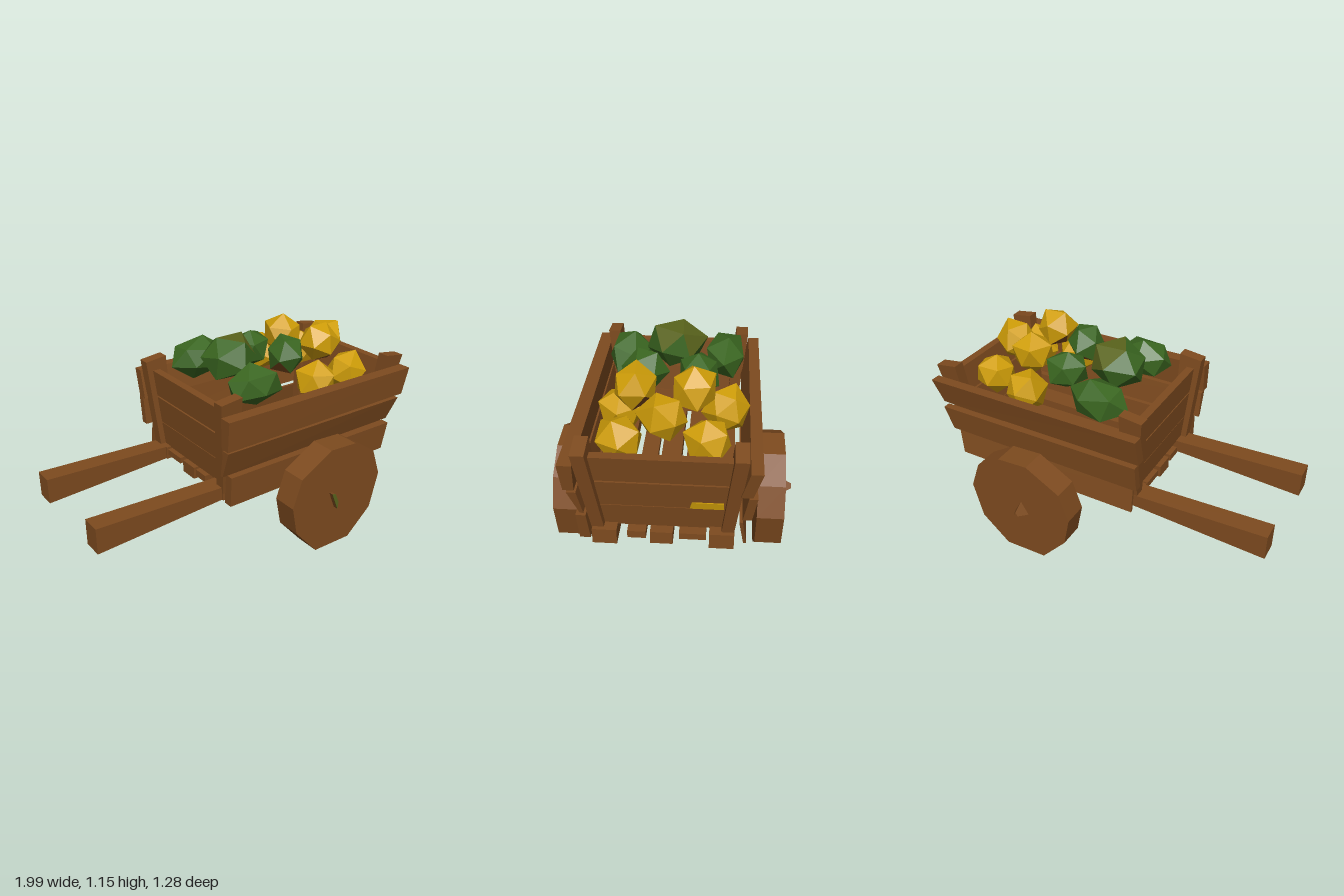
import * as THREE from 'three';

export function createModel() {
  const cart = new THREE.Group();
  cart.name = 'produceCart';
  const paint = (name, color) => {
    const m = new THREE.MeshStandardMaterial({ color });
    m.name = name;
    return m;
  };
  const wood = paint('wood', 0x7e4b1f);
  const green = paint('greenProduce', 0x3a6620);
  const yellow = paint('yellowProduce', 0xd09e08);
  const olive = paint('olive', 0x5a641c);

  const add = (name, geometry, material) => {
    const flat = geometry.index ? geometry.toNonIndexed() : geometry;
    flat.computeVertexNormals();
    const mesh = new THREE.Mesh(flat, material);
    mesh.name = name;
    cart.add(mesh);
    return mesh;
  };

  // Skewed board: lo and hi are [x0, x1, z0, z1] outlines, each y is a
  // number or [y at x0, y at x1]
  const board = (name, yLo, lo, yHi, hi, material = wood) => {
    const g = new THREE.BoxGeometry(1, 1, 1);
    const p = g.attributes.position;
    for (let i = 0; i < p.count; i++) {
      const r = p.getY(i) > 0 ? hi : lo;
      const y = [p.getY(i) > 0 ? yHi : yLo].flat();
      const atX = p.getX(i) > 0 ? 1 : 0;
      p.setXYZ(i, r[atX], y[atX] ?? y[0], r[p.getZ(i) > 0 ? 3 : 2]);
    }
    return add(name, g, material);
  };

  // Shafts: flared handles, then straight bearers under the bed
  for (const [z0, z1] of [[-0.325, -0.215], [0.24, 0.35]]) {
    const r = [-1, -0.26, z0, z1];
    board('handle', [0.34, 0.38], r, [0.485, 0.455], r);
    const b = [-0.26, 0.91, z0, z1 + 0.01];
    board('shaft', [0.38, 0.375], b, [0.455, 0.46], b);
  }

  // Floor slats running lengthwise
  for (const [z0, z1, y0] of [[-0.19, -0.06, 0.415], [-0.03, 0.08, 0.38], [0.1, 0.19, 0.41]]) {
    const r = [-0.26, 0.9, z0, z1];
    board('floorSlat', y0, r, 0.45, r);
  }

  // Overlapping side planks, each a bit crooked:
  // yLo, yHi, x ends, z span at the bottom, z span at the top
  const planks = [
    [0.375, 0.55, -0.26, 0.905, [0.375, 0.428], [0.385, 0.434]],
    [0.56, 0.715, -0.3, 0.94, [0.393, 0.41], [0.414, 0.459]],
    [0.73, 0.9, -0.31, 0.985, [0.417, 0.469], [0.41, 0.48]],
    [0.385, 0.55, -0.26, 0.905, [-0.385, -0.37], [-0.362, -0.345]],
    [0.56, 0.72, -0.3, 0.94, [-0.403, -0.36], [-0.424, -0.383]],
    [0.73, 0.895, -0.31, 0.985, [-0.4, -0.345], [-0.44, -0.383]],
  ];
  for (const [y0, y1, xa, xb, zLo, zHi] of planks) {
    board('sidePlank', y0, [xa, xb - 0.03, ...zLo], [y1, y1 - 0.01], [xa, xb, ...zHi]);
  }

  // Corner posts leaning outward
  for (const side of [1, -1]) {
    const post = (y1, xLo, xHi) => {
      const zs = (i, o) => [0.02 + side * i, 0.02 + side * o].sort((a, b) => a - b);
      board('cornerPost', 0.42, [...xLo, ...zs(0.28, 0.34)], y1, [...xHi, ...zs(0.33, 0.395)]);
    };
    post([0.97, 0.95], [0.81, 0.88], [0.86, 0.99]);
    post([0.965, 0.98], [-0.26, -0.17], [-0.31, -0.18]);
  }

  // End boards between the posts
  for (const [y0, y1] of [[0.45, 0.59], [0.594, 0.75], [0.76, 0.91]]) {
    const rect = (y, front) => {
      const d = y - 0.45, z = 0.285 + d * 0.1;
      const x = front ? 0.805 + d * 0.2 : -0.23 - d * 0.09;
      return [x, x + 0.045, 0.02 - z, 0.02 + z];
    };
    for (const front of [true, false]) board('endBoard', y0, rect(y0, front), y1, rect(y1, front));
  }
  // Yellow patch on the end board
  board('yellowPatch', 0.594, [0.876, 0.884, -0.27, -0.11], 0.636, [0.885, 0.893, -0.27, -0.12], yellow);

  // Axle
  const axle = add('axle', new THREE.CylinderGeometry(0.06, 0.06, 0.95, 8).rotateX(Math.PI / 2).rotateZ(Math.PI / 8), wood);
  axle.position.set(0.325, 0.308, 0.02);

  // Extruded outline in the xy plane
  const slab = (name, points, z, depth, material) => {
    const shape = new THREE.Shape(points.map(([x, y]) => new THREE.Vector2(x, y)));
    const g = new THREE.ExtrudeGeometry(shape, { depth, bevelEnabled: false });
    add(name, g, material).position.z = z;
  };

  // Axle ends: a chipped wedge at the front, a blunt spike at the back
  slab('axleWedge', [[0.275, 0.363], [0.3, 0.355], [0.375, 0.28], [0.37, 0.255], [0.32, 0.255]], 0.61, 0.025, wood);
  slab('wedgeChip', [[0.275, 0.363], [0.3, 0.355], [0.325, 0.3], [0.32, 0.255]], 0.635, 0.005, olive);
  const spike = new THREE.CylinderGeometry(0.015, 0.052, 0.06, 3).rotateX(-Math.PI / 2);
  add('axleSpike', spike, wood).position.set(0.325, 0.315, -0.61);

  // Rough solid wheels
  const rim = [[0.27, 0.625], [0.45, 0.615], [0.6, 0.52], [0.66, 0.36], [0.61, 0.15], [0.45, 0.005],
    [0.2, 0.01], [0.05, 0.18], [0.015, 0.35], [0.07, 0.51]];
  for (const z of [0.472, -0.582]) slab('wheel', rim, z, 0.14, wood);

  // Lumpy produce: the same corner always gets the same nudge. Faces whose
  // centre passes the test take the second material.
  const lump = (name, material, [x, y, z], [rx, ry, rz], seed, second, test) => {
    const g = new THREE.IcosahedronGeometry(1, 0);
    g.rotateX(seed * 1.3).rotateY(seed * 2.1);
    const p = g.attributes.position, v = new THREE.Vector3();
    for (let i = 0; i < p.count; i += 3) {
      const mid = new THREE.Vector3();
      for (let j = i; j < i + 3; j++) {
        v.fromBufferAttribute(p, j);
        mid.addScaledVector(v, 1 / 3);
        const k = 1.05 + 0.1 * Math.sin(v.x * 5 + v.y * 7 + v.z * 9 + seed);
        p.setXYZ(j, v.x * k * rx, v.y * k * ry, v.z * k * rz);
      }
      if (second) g.addGroup(i, 3, test(mid) ? 1 : 0);
    }
    add(name, g, second ? [material, second] : material).position.set(x, y, z);
  };
  const underside = (m) => m.y < -0.5;
  const greens = [
    [[0, 0.95, -0.25], [0.165, 0.11, 0.11]],
    [[0.03, 1.03, 0.01], [0.16, 0.125, 0.15], olive, (m) => m.x > 0 && m.y > 0.2],
    [[0, 0.95, 0.27], [0.165, 0.11, 0.115]],
    [[0.28, 0.99, -0.12], [0.115, 0.11, 0.11]],
    [[0.32, 1.02, 0.15], [0.11, 0.115, 0.11], wood, underside],
  ];
  greens.forEach(([c, r, ...extra], i) => lump('greenGourd', green, c, r, i + 1, ...extra));
  const yellows = [
    [[0.46, 0.89, -0.27], 0.118],
    [[0.51, 1.03, -0.11], 0.113],
    [[0.72, 0.88, -0.19], 0.115],
    [[0.72, 0.995, 0.025], 0.118],
    [[0.71, 0.86, 0.24], 0.118],
    [[0.54, 1.05, 0.18], 0.112, wood, underside],
    [[0.45, 0.86, 0.27], 0.115],
  ];
  yellows.forEach(([c, r, ...extra], i) => lump('yellowFruit', yellow, c, [r, r, r], i + 7, ...extra));

  return cart;
}
